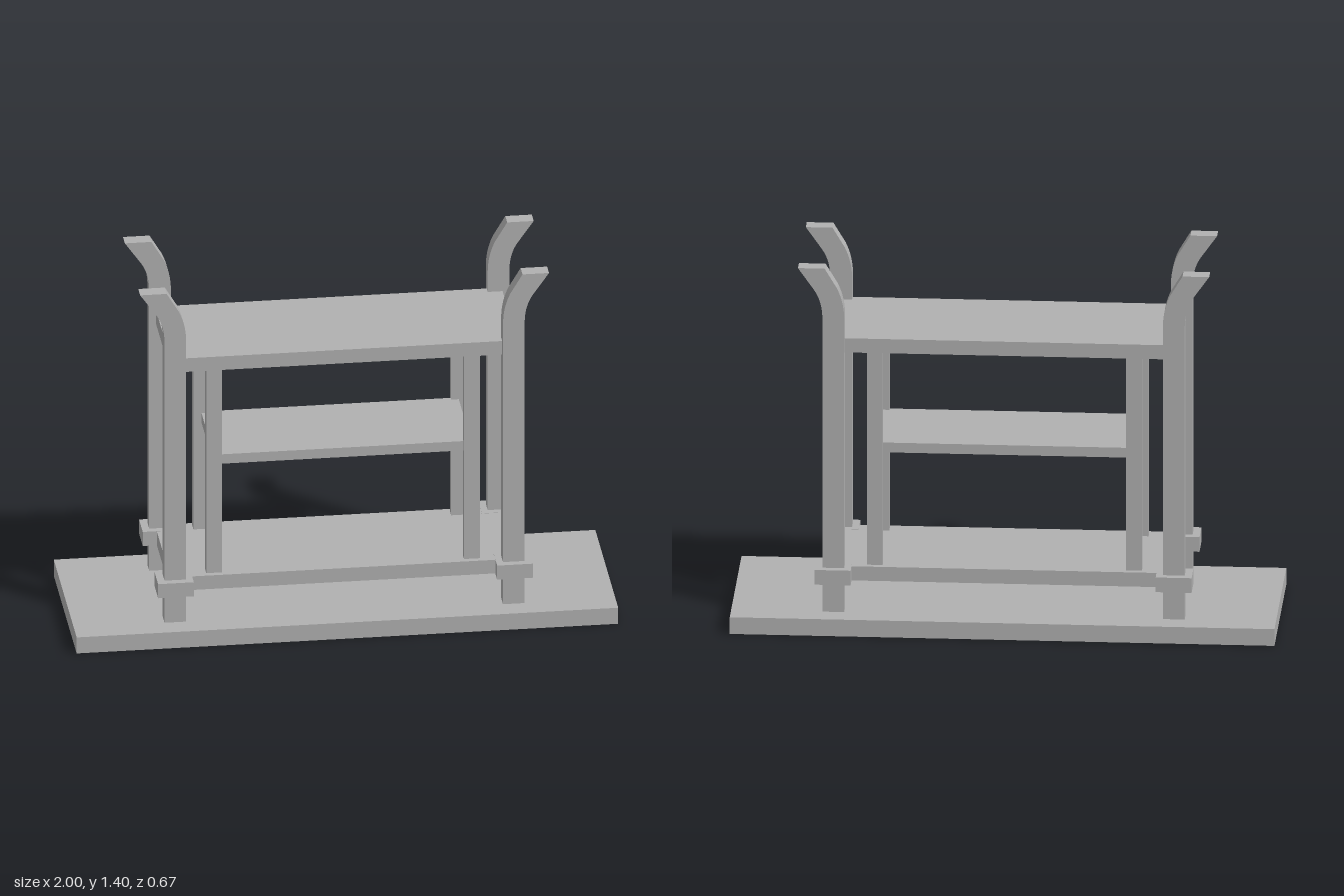
import * as THREE from 'three';

export function createModel() {
  const model = new THREE.Group();
  model.name = 'shelfStand';
  const grey = new THREE.MeshStandardMaterial({ color: 0xb0b0b0 });
  grey.name = 'plain grey';

  // Box given by its minimum and maximum corners
  function slab(name, x0, x1, y0, y1, z0, z1) {
    const mesh = new THREE.Mesh(new THREE.BoxGeometry(x1 - x0, y1 - y0, z1 - z0), grey);
    mesh.position.set((x0 + x1) / 2, (y0 + y1) / 2, (z0 + z1) / 2);
    mesh.name = name;
    model.add(mesh);
  }

  // Base board and the three shelves
  slab('baseBoard', -1, 1, 0, 0.065, -0.333, 0.333);
  slab('lowerShelf', -0.64, 0.64, 0.18, 0.235, -0.225, 0.225);
  slab('middleShelf', -0.475, 0.475, 0.667, 0.705, -0.185, 0.185);
  slab('topShelf', -0.64, 0.64, 1.067, 1.122, -0.225, 0.225);

  // Profile of a corner post with its top flaring outwards; side is +1 or -1
  function postProfile(side) {
    const s = new THREE.Shape();
    s.moveTo(side * 0.585, 0.06);
    s.lineTo(side * 0.665, 0.06);
    s.lineTo(side * 0.665, 1.2);
    s.bezierCurveTo(side * 0.665, 1.25, side * 0.675, 1.285, side * 0.695, 1.315);
    s.lineTo(side * 0.755, 1.4);
    s.lineTo(side * 0.657, 1.4);
    s.lineTo(side * 0.612, 1.325);
    s.bezierCurveTo(side * 0.595, 1.29, side * 0.585, 1.25, side * 0.585, 1.2);
    return s;
  }

  for (const side of [-1, 1]) {
    const geometry = new THREE.ExtrudeGeometry(postProfile(side), {
      depth: 0.055, bevelEnabled: false, curveSegments: 10,
    });
    const sideName = side > 0 ? 'left' : 'right';
    for (const end of [-1, 1]) {
      const where = sideName + (end > 0 ? 'Front' : 'Back');
      const span = (a, b) => [Math.min(a * end, b * end), Math.max(a * end, b * end)];
      const xSpan = (a, b) => [Math.min(a * side, b * side), Math.max(a * side, b * side)];

      // Flared corner post
      const post = new THREE.Mesh(geometry, grey);
      post.position.z = end > 0 ? 0.195 : -0.25;
      post.name = where + 'Post';
      model.add(post);

      // Collar around the post at the lower shelf
      slab(where + 'Collar', ...xSpan(0.56, 0.692), 0.179, 0.236, ...span(0.17, 0.277));

      // Slim inner upright carrying the middle shelf
      slab(where + 'Upright', ...xSpan(0.447, 0.505), 0.22, 1.08, ...span(0.17, 0.204));
    }
  }
  return model;
}
